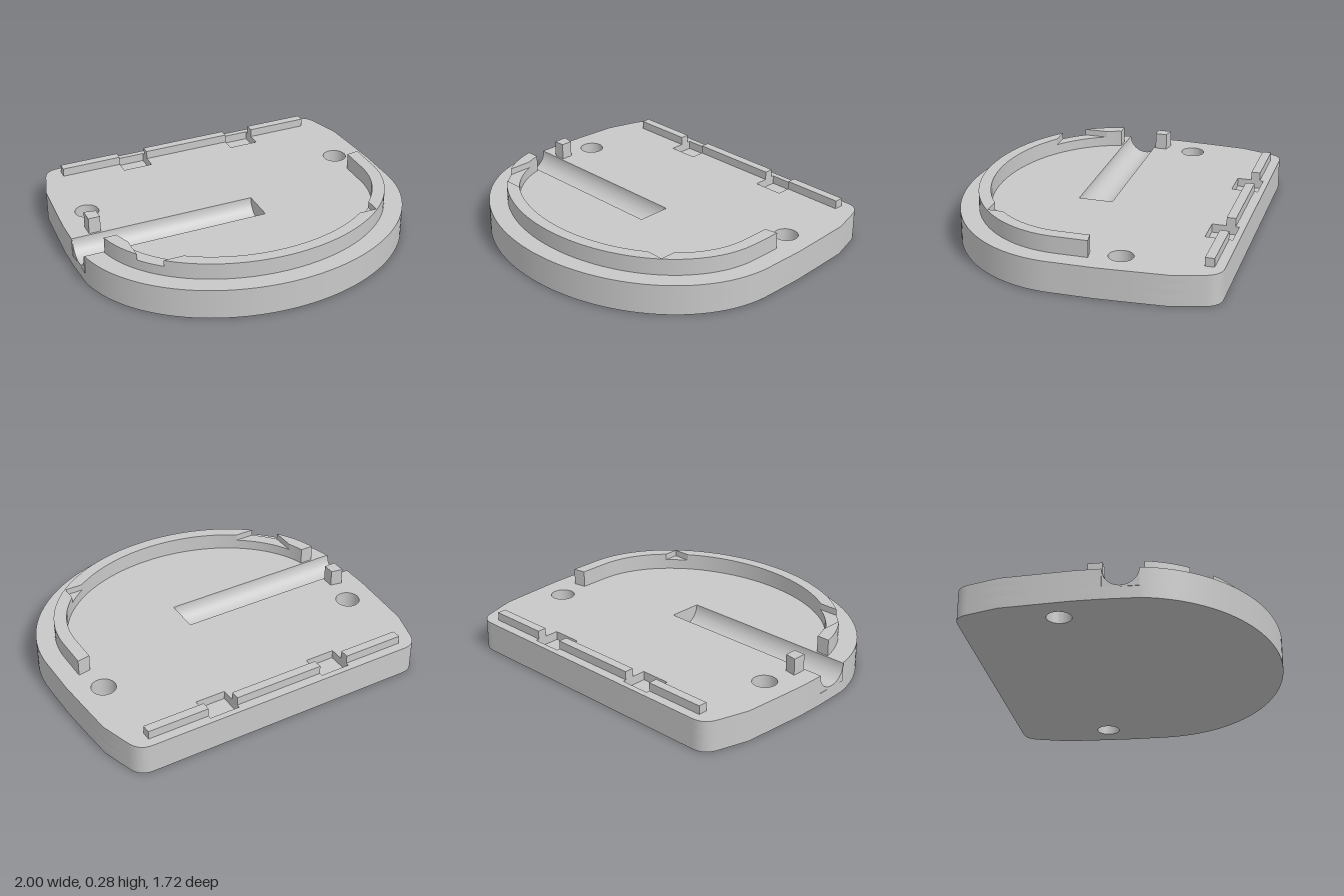
import * as THREE from 'three';
import { toCreasedNormals } from 'three/addons/utils/BufferGeometryUtils.js';

const TOP = 0.18;                                     // plate surface height
const GROOVE = { z0: -0.043, z1: 0.159, end: 0.12, r: 0.101 };
const EDGE = [1, 0.809];                              // plate ellipse radii
const OUT = [0.89, 0.7], INN = [0.815, 0.63];         // ridge ellipse radii
const CZ = 0.05;                                      // ellipse centre in z

const V = (x, z) => new THREE.Vector2(x, z);

// points along an ellipse in the x-z plane from angle a to b
function arc([rx, rz], a, b, n = 48) {
  return Array.from({ length: n + 1 }, (_, i) => {
    const t = a + (b - a) * i / n;
    return V(rx * Math.cos(t), CZ + rz * Math.sin(t));
  });
}
const atZ = (e, z) => Math.asin((z - CZ) / e[1]);     // angle where the ellipse reaches z
const atX = (e, x) => Math.acos(x / e[0]);            // angle where it reaches x

// solid with an x-z outline between heights y0 and y1
function slab(points, y0, y1, holes = []) {
  const shape = new THREE.Shape(points);
  shape.holes.push(...holes);
  const geo = new THREE.ExtrudeGeometry(shape, { depth: y1 - y0, bevelEnabled: false, curveSegments: 24 });
  geo.rotateX(Math.PI / 2).translate(0, y1, 0);
  return toCreasedNormals(geo, 0.4);
}

function rect(x0, x1, z0, z1) {
  return [V(x0, z0), V(x1, z0), V(x1, z1), V(x0, z1)];
}

// layer of the plate, with or without the groove slot and the rail pockets
function plateLayer(y0, y1, slot, pockets) {
  const { z0, z1, end } = GROOVE;
  const corner = new THREE.CubicBezierCurve(V(0.922, -0.78), V(0.905, -0.835), V(0.87, -0.86), V(0.815, -0.86));
  const rightSide = [V(1, -0.2), V(0.99, -0.37), V(0.975, -0.6), ...corner.getPoints(10)];
  const leftSide = rightSide.map(p => V(-p.x, p.y));
  const outline = [
    ...arc(EDGE, 0, Math.PI - atZ(EDGE, z1), 72),
    ...(slot ? [V(end, z1), V(end, z0)] : []),
    V(-1, z0), ...leftSide, ...rightSide.reverse()];
  const holes = [];
  for (const s of [-1, 1]) {
    holes.push(new THREE.Path().absarc(s * 0.82, -0.3, 0.07, 0, Math.PI * 2));
    if (pockets) holes.push(new THREE.Path(rect(s * 0.36 - 0.09, s * 0.36 + 0.09, -0.825, -0.67)));
  }
  return slab(outline, y0, y1, holes);
}

export function createModel() {
  const model = new THREE.Group();
  const grey = new THREE.MeshStandardMaterial({ color: 0xc8c8c8 });
  grey.name = 'grey';
  const add = (name, geo, parent) => {
    const mesh = new THREE.Mesh(geo, grey);
    mesh.name = name;
    parent.add(mesh);
  };
  const group = name => {
    const g = new THREE.Group();
    g.name = name;
    model.add(g);
    return g;
  };

  // plate in three layers: floor, grooved layer, grooved layer with pockets
  const plate = group('plate');
  add('plateFloor', plateLayer(0, 0.07, false, false), plate);
  add('plateMiddle', plateLayer(0.07, 0.13, true, false), plate);
  add('plateTop', plateLayer(0.13, TOP, true, true), plate);

  // half-round bed filling the slot
  const bed = new THREE.Shape();
  bed.moveTo(-GROOVE.r, 0.07);
  bed.lineTo(GROOVE.r, 0.07);
  bed.lineTo(GROOVE.r, TOP);
  bed.absarc(0, TOP, GROOVE.r, 0, Math.PI, true);
  const bedGeo = new THREE.ExtrudeGeometry(bed, { depth: GROOVE.end + 0.996, bevelEnabled: false, curveSegments: 32 });
  bedGeo.rotateY(Math.PI / 2).translate(-0.996, 0, (GROOVE.z0 + GROOVE.z1) / 2);
  add('grooveBed', toCreasedNormals(bedGeo, 0.4), plate);

  // curved ridge: full band below, notched band above
  const ridge = group('ridge');
  const notchY = 0.24, ridgeTop = 0.278, startZ = 0.17, cutZ = 0.52, cutX = -0.769;
  const left = (e, z) => Math.PI - atZ(e, z);
  const tail = [V(0.89, -0.138), V(0.815, -0.125)];
  const stubOut = arc(OUT, left(OUT, startZ), atX(OUT, cutX), 10);
  const stubIn = arc(INN, atX(INN, cutX), left(INN, startZ), 10);
  const mainOut = arc(OUT, left(OUT, cutZ), 0);
  const mainIn = arc(INN, atZ(INN, cutZ), left(INN, cutZ), 32);
  const endIn = arc(INN, 0, atX(INN, 0.65), 14);

  add('ridgeBase', slab([
    ...stubOut, ...arc(OUT, atX(OUT, cutX), left(OUT, cutZ), 4).slice(1, -1), ...mainOut, ...tail,
    ...endIn, ...arc(INN, atX(INN, 0.65), atZ(INN, cutZ), 4).slice(1, -1), ...mainIn,
    ...arc(INN, left(INN, cutZ), atX(INN, cutX), 8).slice(1, -1), ...stubIn], TOP, notchY), ridge);
  add('ridgeTop', slab([...mainOut, ...tail, ...endIn, V(0.65, cutZ), ...mainIn], notchY, ridgeTop), ridge);
  add('ridgeStub', slab([...stubOut, ...stubIn], notchY, ridgeTop), ridge);

  // ridge end on the far side of the groove
  const post = [V(-0.89, -0.138), V(-0.82, -0.125), V(-0.82, -0.055), V(-0.89, -0.055)];
  add('ridgePost', slab(post, TOP, ridgeTop), ridge);

  // rear rail, broken at the pockets
  const rail = group('rearRail');
  for (const [x0, x1] of [[-0.815, -0.45], [-0.27, 0.27], [0.45, 0.815]]) {
    add('railSegment', slab(rect(x0, x1, -0.805, -0.752), TOP, 0.23), rail);
  }
  return model;
}
